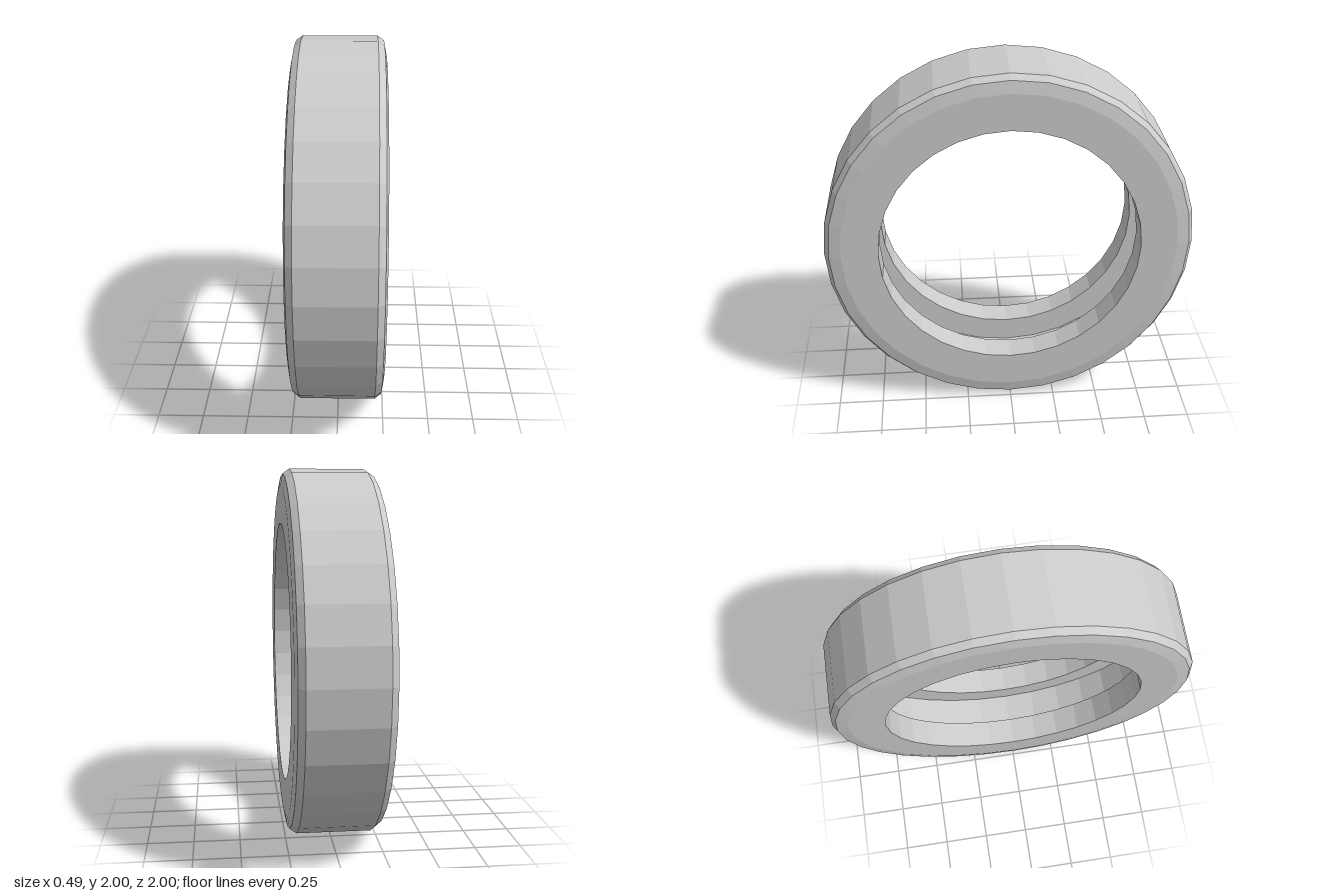
import * as THREE from 'three';

const SIDES = 32;

// Half of the ring's cross-section as [radius, offset along the axle],
// from the tread round the shoulder and down to the inner groove.
const HALF_PROFILE = [
  [1.0, 0.2],
  [0.975, 0.235],
  [0.91, 0.247],
  [0.71, 0.247],
  [0.71, 0.1],
  [0.85, 0.1],
];

export function createModel() {
  const model = new THREE.Group();
  model.name = 'tire';
  const rubber = new THREE.MeshStandardMaterial({ color: 0xcccccc });
  rubber.name = 'light grey';

  // Mirror the half section and close the loop
  const half = HALF_PROFILE.map(([r, a]) => new THREE.Vector2(r, a));
  const mirrored = HALF_PROFILE.map(([r, a]) => new THREE.Vector2(r, -a)).reverse();
  const section = [...half, ...mirrored, half[0].clone()];

  // Faceted ring turned about the x axis
  const geometry = new THREE.LatheGeometry(section, SIDES).toNonIndexed();
  geometry.rotateZ(Math.PI / 2);
  geometry.computeVertexNormals();

  const ring = new THREE.Mesh(geometry, rubber);
  ring.name = 'groovedRing';
  ring.position.y = 1;
  model.add(ring);
  return model;
}
